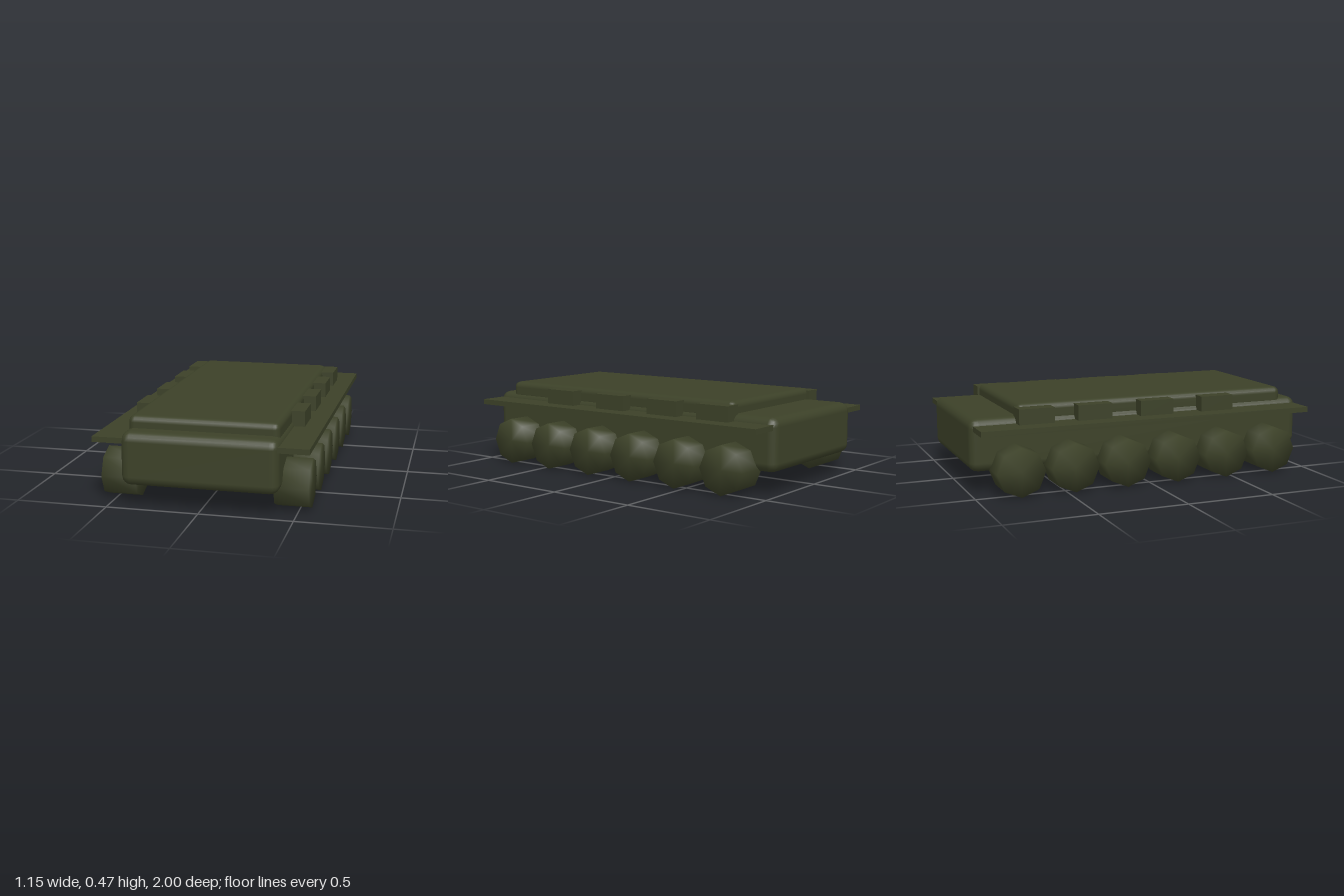
import * as THREE from 'three';
import { mergeVertices } from 'three/addons/utils/BufferGeometryUtils.js';
import { RoundedBoxGeometry } from 'three/addons/geometries/RoundedBoxGeometry.js';

export function createModel() {
  const model = new THREE.Group();
  model.name = 'armouredHull';
  const olive = new THREE.MeshStandardMaterial({ color: 0x3c4128 });
  olive.name = 'oliveGreen';

  const add = (name, geometry, x, y, z) => {
    const mesh = new THREE.Mesh(geometry, olive);
    mesh.name = name;
    mesh.position.set(x, y, z);
    model.add(mesh);
  };

  // Main hull and raised deck with softened edges
  add('hull', new RoundedBoxGeometry(0.84, 0.29, 2, 2, 0.05), 0, 0.265, 0);
  add('upperDeck', new RoundedBoxGeometry(0.81, 0.11, 1.63, 2, 0.035), 0, 0.42, 0.08);

  // Eight-sided road wheel, point up, with normals blended across rim and caps
  let wheel = new THREE.CylinderGeometry(0.135, 0.135, 0.185, 8);
  wheel.rotateZ(Math.PI / 2);
  wheel.deleteAttribute('uv');
  wheel.deleteAttribute('normal');
  wheel = mergeVertices(wheel);
  wheel.computeVertexNormals();

  const fender = new THREE.BoxGeometry(0.215, 0.03, 1.96);
  const box = new THREE.BoxGeometry(0.1, 0.09, 0.2);

  for (const [side, s] of [['left', 1], ['right', -1]]) {
    add(side + 'Fender', fender, s * 0.4675, 0.36, 0);
    // Stowage boxes along the fender
    [-0.645, -0.31, 0.06, 0.435].forEach((z, i) =>
      add(side + 'StowageBox' + (i + 1), box, s * 0.425, 0.415, z));
    // Six road wheels
    for (let i = 0; i < 6; i++) {
      add(side + 'RoadWheel' + (i + 1), wheel, s * 0.4665, 0.135, 0.765 - i * 0.305);
    }
  }
  return model;
}
